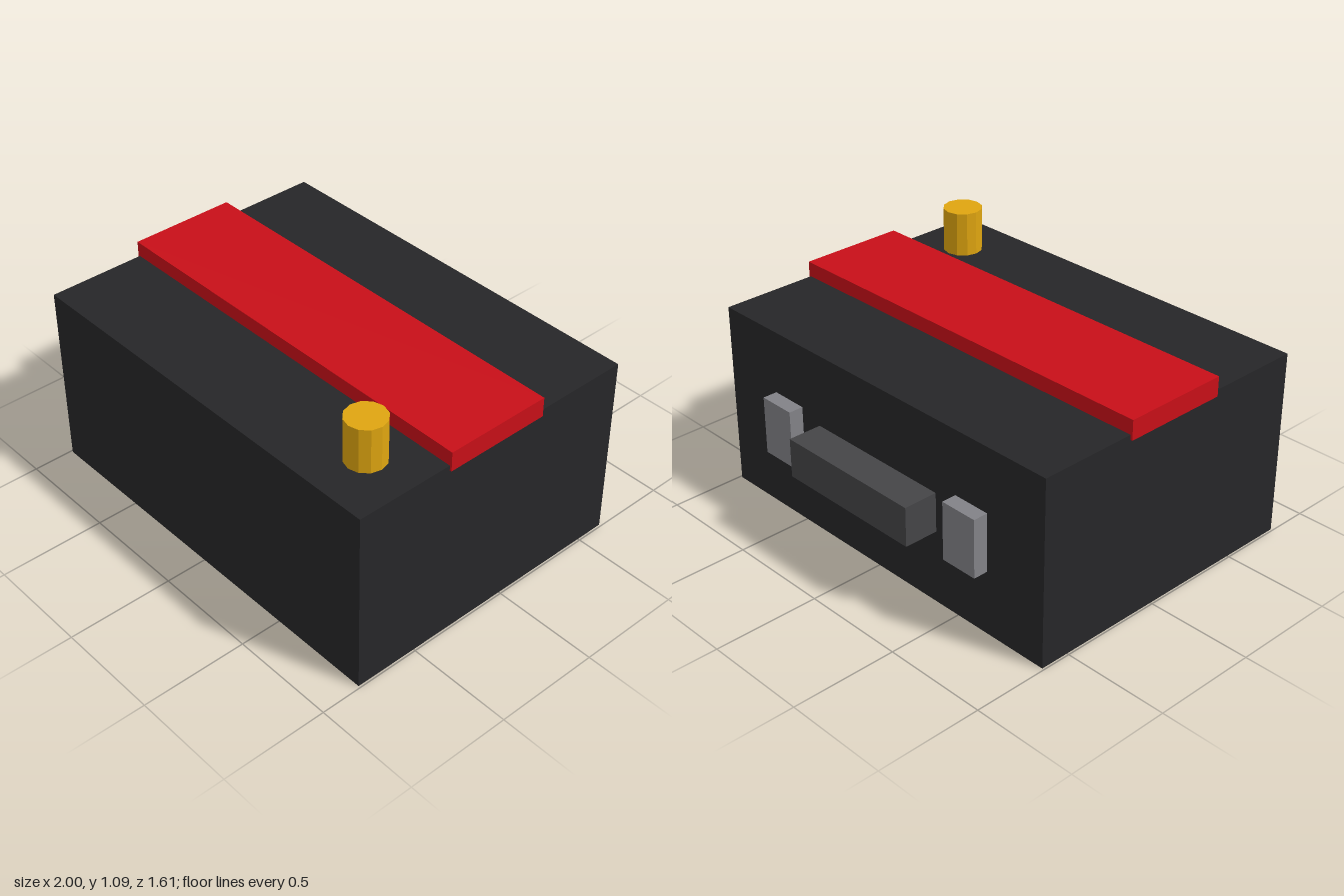
import * as THREE from 'three';

export function createModel() {
  const model = new THREE.Group();

  const add = (name, geometry, color, x, y, z) => {
    const material = new THREE.MeshStandardMaterial({ color, flatShading: true });
    const mesh = new THREE.Mesh(geometry, material);
    mesh.name = name;
    mesh.position.set(x, y, z);
    model.add(mesh);
  };

  // Box given by its lower and upper limits on each axis
  const box = (name, color, [x0, x1], [y0, y1], [z0, z1]) =>
    add(name, new THREE.BoxGeometry(x1 - x0, y1 - y0, z1 - z0), color,
      (x0 + x1) / 2, (y0 + y1) / 2, (z0 + z1) / 2);

  // Case and the band across its top
  box('caseBody', 0x262628, [-0.99, 0.99], [0, 0.885], [-0.64, 0.803]);
  box('topBand', 0xc80f18, [-1, 1], [0.862, 0.955], [-0.175, 0.337]);

  // Knob on the top, near the front left corner
  add('knob', new THREE.CylinderGeometry(0.092, 0.092, 0.218, 12), 0xdfa510, 0.742, 0.985, 0.547);

  // Handle and the two latches on the back
  box('handle', 0x454547, [-0.372, 0.372], [0.352, 0.538], [-0.803, -0.63]);
  for (const side of [-1, 1]) {
    const x = side * 0.581;
    box(side > 0 ? 'leftLatch' : 'rightLatch', 0x828287,
      [x - 0.092, x + 0.092], [0.305, 0.582], [-0.71, -0.63]);
  }

  return model;
}
